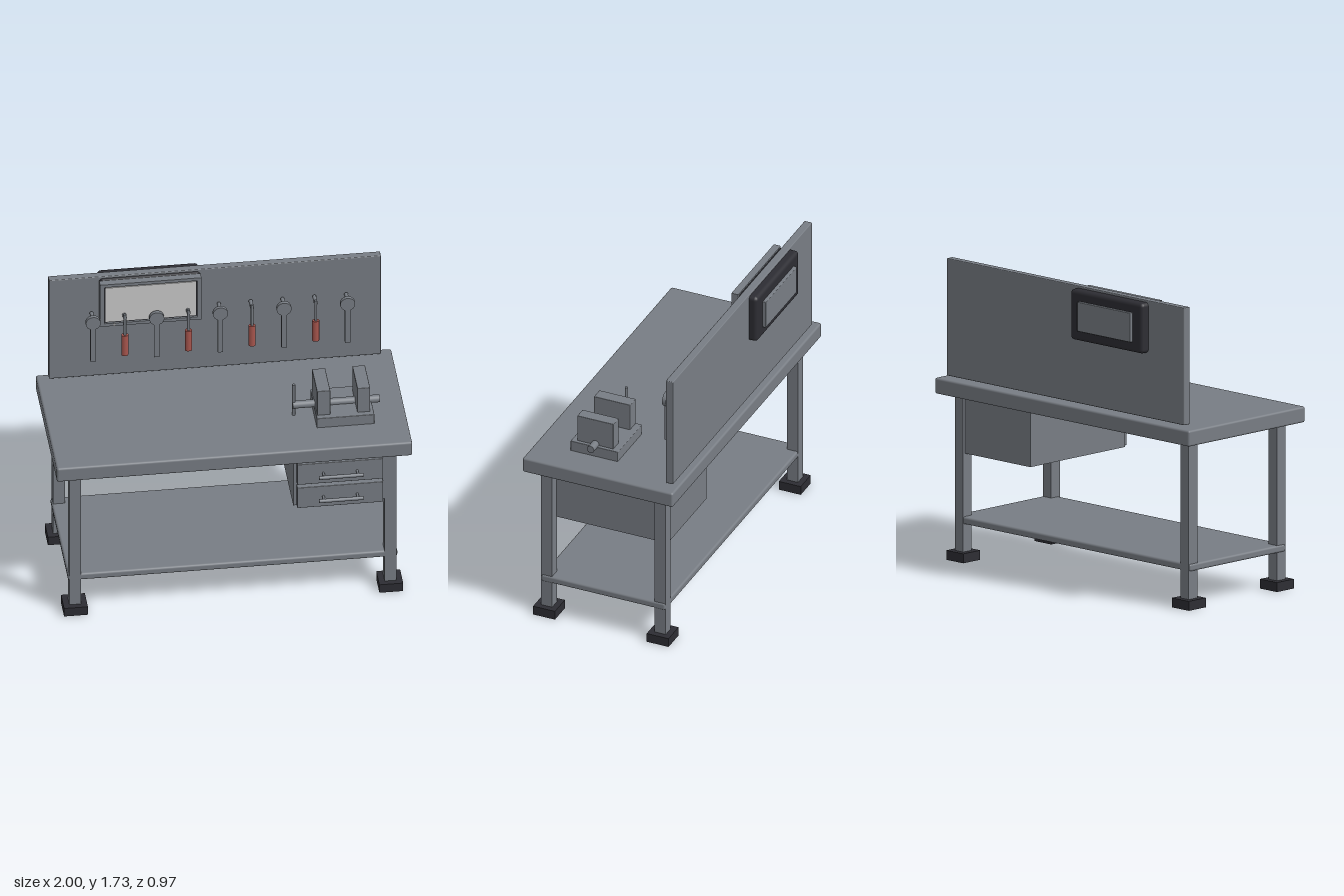
import * as THREE from 'three';
import { RoundedBoxGeometry } from 'three/addons/geometries/RoundedBoxGeometry.js';

const mat = (name, color) => {
  const m = new THREE.MeshStandardMaterial({ color });
  m.name = name;
  return m;
};

export function createModel() {
  const steel = mat('steel grey', 0x787d84);
  const rubber = mat('black rubber', 0x2d2d33);
  const red = mat('red grip', 0xa8564e);
  const glass = mat('pale screen', 0xcacaca);

  const root = new THREE.Group();
  root.name = 'workbench';

  const add = (parent, name, geometry, material, x = 0, y = 0, z = 0) => {
    const mesh = new THREE.Mesh(geometry, material);
    mesh.name = name;
    mesh.position.set(x, y, z);
    parent.add(mesh);
    return mesh;
  };
  const group = (name) => {
    const g = new THREE.Group();
    g.name = name;
    root.add(g);
    return g;
  };
  // Box given by its limits on each axis, optionally with rounded edges
  const slab = (parent, name, material, [x0, x1], [y0, y1], [z0, z1], r = 0) => {
    const s = [x1 - x0, y1 - y0, z1 - z0];
    const geo = r ? new RoundedBoxGeometry(...s, 2, r) : new THREE.BoxGeometry(...s);
    return add(parent, name, geo, material, (x0 + x1) / 2, (y0 + y1) / 2, (z0 + z1) / 2);
  };
  // Cylinder along a chosen axis
  const rod = (parent, name, material, axis, r, length, x, y, z, sides = 20) => {
    const geo = new THREE.CylinderGeometry(r, r, length, sides);
    if (axis === 'x') geo.rotateZ(Math.PI / 2);
    if (axis === 'z') geo.rotateX(Math.PI / 2);
    return add(parent, name, geo, material, x, y, z);
  };
  // Rectangular ring extruded along z
  const ring = (w, h, iw, ih, depth) => {
    const rect = (target, a, b) => {
      target.moveTo(-a / 2, -b / 2);
      target.lineTo(a / 2, -b / 2);
      target.lineTo(a / 2, b / 2);
      target.lineTo(-a / 2, b / 2);
      target.closePath();
      return target;
    };
    const shape = rect(new THREE.Shape(), w, h);
    shape.holes.push(rect(new THREE.Path(), iw, ih));
    return new THREE.ExtrudeGeometry(shape, { depth, bevelEnabled: false });
  };

  // Bench top and lower shelf
  slab(root, 'benchTop', steel, [-1, 1], [0.949, 1.04], [-0.444, 0.478], 0.012);
  slab(root, 'lowerShelf', steel, [-0.927, 0.927], [0.213, 0.255], [-0.364, 0.396], 0.012);

  // Four legs, each in a hollow rubber foot
  const footGeo = ring(0.134, 0.134, 0.064, 0.064, 0.054).rotateX(-Math.PI / 2);
  for (const x of [-0.887, 0.887]) {
    for (const z of [-0.331, 0.366]) {
      slab(root, 'leg', steel, [x - 0.033, x + 0.033], [0.02, 0.955], [z - 0.034, z + 0.034]);
      add(root, 'foot', footGeo, rubber, x, 0, z);
    }
  }

  // Drawer cabinet
  const cabinet = group('drawerCabinet');
  slab(cabinet, 'cabinetBody', steel, [0.34, 0.86], [0.615, 0.929], [-0.35, 0.397]);
  for (const y of [0.8445, 0.6865]) {
    slab(cabinet, 'drawerFront', steel, [0.358, 0.842], [y - 0.069, y + 0.069], [0.395, 0.432], 0.004);
    rod(cabinet, 'drawerHandle', steel, 'x', 0.011, 0.25, 0.6, y, 0.477);
    for (const x of [0.505, 0.695]) rod(cabinet, 'handlePost', steel, 'z', 0.007, 0.05, x, y, 0.453, 12);
  }

  // Vise
  const vise = group('vise');
  slab(vise, 'viseBase', steel, [0.49, 0.814], [1.035, 1.102], [-0.022, 0.268], 0.004);
  slab(vise, 'movingJaw', steel, [0.495, 0.57], [1.1, 1.264], [0.014, 0.236], 0.004);
  slab(vise, 'fixedJaw', steel, [0.722, 0.794], [1.1, 1.264], [0.014, 0.236], 0.004);
  rod(vise, 'viseScrew', steel, 'x', 0.022, 0.49, 0.616, 1.108, 0.124);
  rod(vise, 'viseHandle', steel, 'y', 0.009, 0.272, 0.378, 1.109, 0.124, 12);

  // Back board
  slab(root, 'backBoard', steel, [-0.934, 0.934], [1.058, 1.728], [-0.416, -0.37], 0.005);

  // Hanging tools: wrenches and screwdrivers in turn
  const tools = group('hangingTools');
  const toolZ = -0.288;
  for (let i = 0; i < 9; i++) {
    const x = 0.019 + (i - 4) * 0.179;
    rod(tools, 'peg', steel, 'z', 0.011, 0.072, x, 1.497, -0.319, 12);
    if (i % 2 === 0) {
      rod(tools, 'wrenchHead', steel, 'z', 0.042, 0.022, x, 1.478, toolZ, 28);
      slab(tools, 'wrenchHandle', steel, [x - 0.015, x + 0.015], [1.216, 1.46], [toolZ - 0.008, toolZ + 0.008]);
    } else {
      rod(tools, 'screwdriverShaft', steel, 'y', 0.008, 0.15, x, 1.443, toolZ, 12);
      rod(tools, 'screwdriverGrip', red, 'y', 0.02, 0.135, x, 1.312, toolZ, 12).scale.z = 0.8;
    }
  }

  // Monitor set through the back board
  const monitor = group('monitor');
  const cx = -0.369, cy = 1.572;
  slab(monitor, 'monitorShell', rubber, [cx - 0.285, cx + 0.285], [cy - 0.144, cy + 0.144], [-0.466, -0.348], 0.022);
  add(monitor, 'bezel', ring(0.57, 0.284, 0.524, 0.246, 0.042), steel, cx, cy, -0.351);
  slab(monitor, 'screenBorder', rubber, [cx - 0.262, cx + 0.262], [cy - 0.123, cy + 0.123], [-0.352, -0.322]);
  slab(monitor, 'screen', glass, [cx - 0.253, cx + 0.256], [cy - 0.116, cy + 0.114], [-0.322, -0.316]);
  slab(monitor, 'rearPanel', steel, [cx - 0.209, cx + 0.209], [cy - 0.084, cy + 0.084], [-0.485, -0.46], 0.004);
  rod(monitor, 'powerLight', glass, 'z', 0.006, 0.006, -0.574, 1.441, -0.308, 12);

  return root;
}
